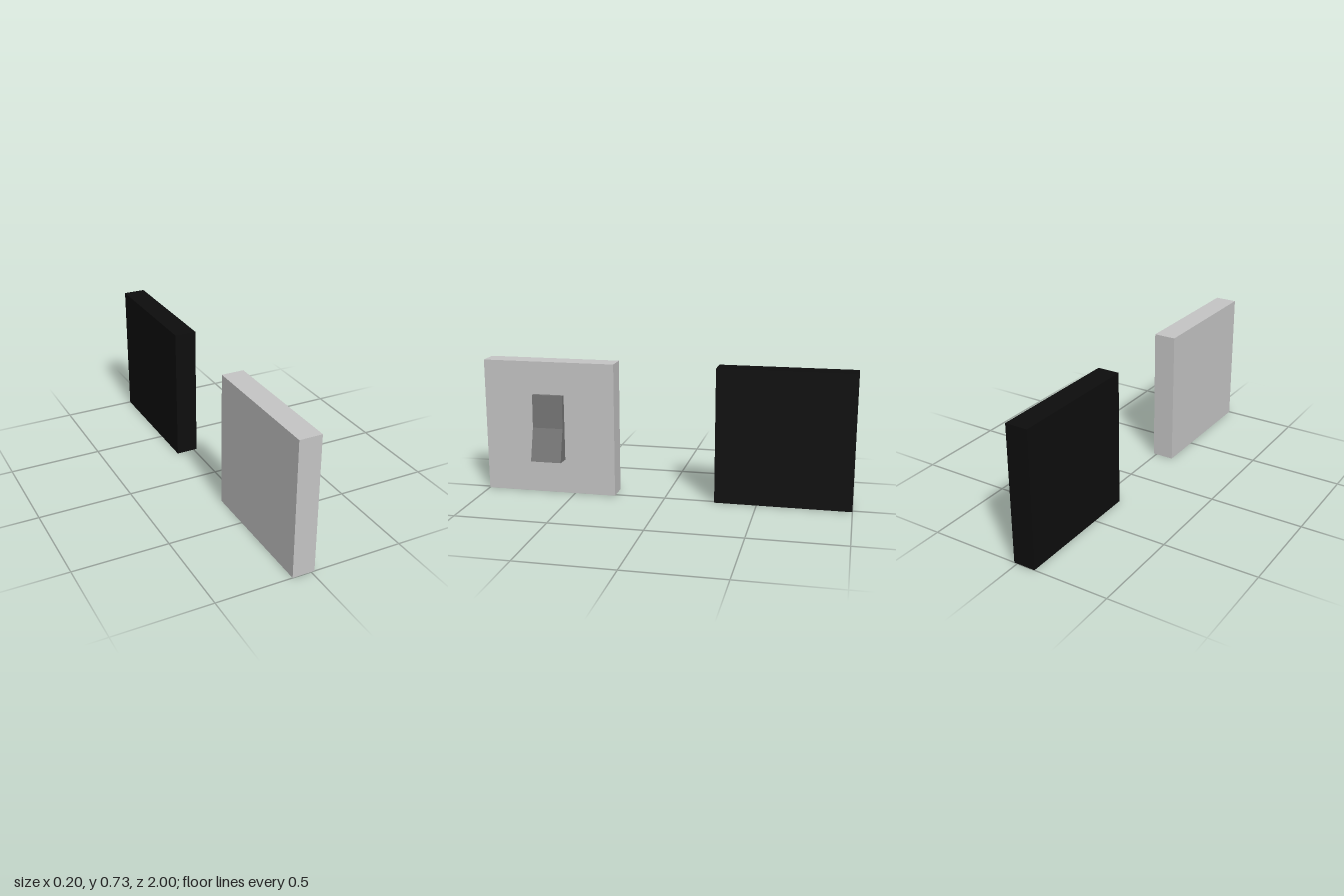
import * as THREE from 'three';

export function createModel() {
  const model = new THREE.Group();
  model.name = 'lightSwitch';
  const lightGrey = new THREE.MeshStandardMaterial({ name: 'lightGrey', color: 0xc4c4c4 });
  const midGrey = new THREE.MeshStandardMaterial({ name: 'midGrey', color: 0x767676 });
  const black = new THREE.MeshStandardMaterial({ name: 'black', color: 0x0d0d0d });

  const add = (name, geometry, material, x, y, z) => {
    const mesh = new THREE.Mesh(geometry, material);
    mesh.name = name;
    mesh.position.set(x, y, z);
    model.add(mesh);
  };

  // Two matching square plates, standing apart along z
  const plate = new THREE.BoxGeometry(0.118, 0.728, 0.726);
  add('wallPlate', plate, lightGrey, -0.041, 0.364, 0.637);
  add('blackPlate', plate, black, -0.041, 0.364, -0.637);

  // Rocker: side profile with a kinked face, extruded along z
  const profile = new THREE.Shape([
    [0.016, 0.188], [0.1, 0.192], [0.052, 0.37], [0.047, 0.551], [0.016, 0.549],
  ].map(([x, y]) => new THREE.Vector2(x, y)));
  const rocker = new THREE.ExtrudeGeometry(profile, { depth: 0.168, bevelEnabled: false });
  add('rocker', rocker, midGrey, 0, 0, 0.553);

  return model;
}
